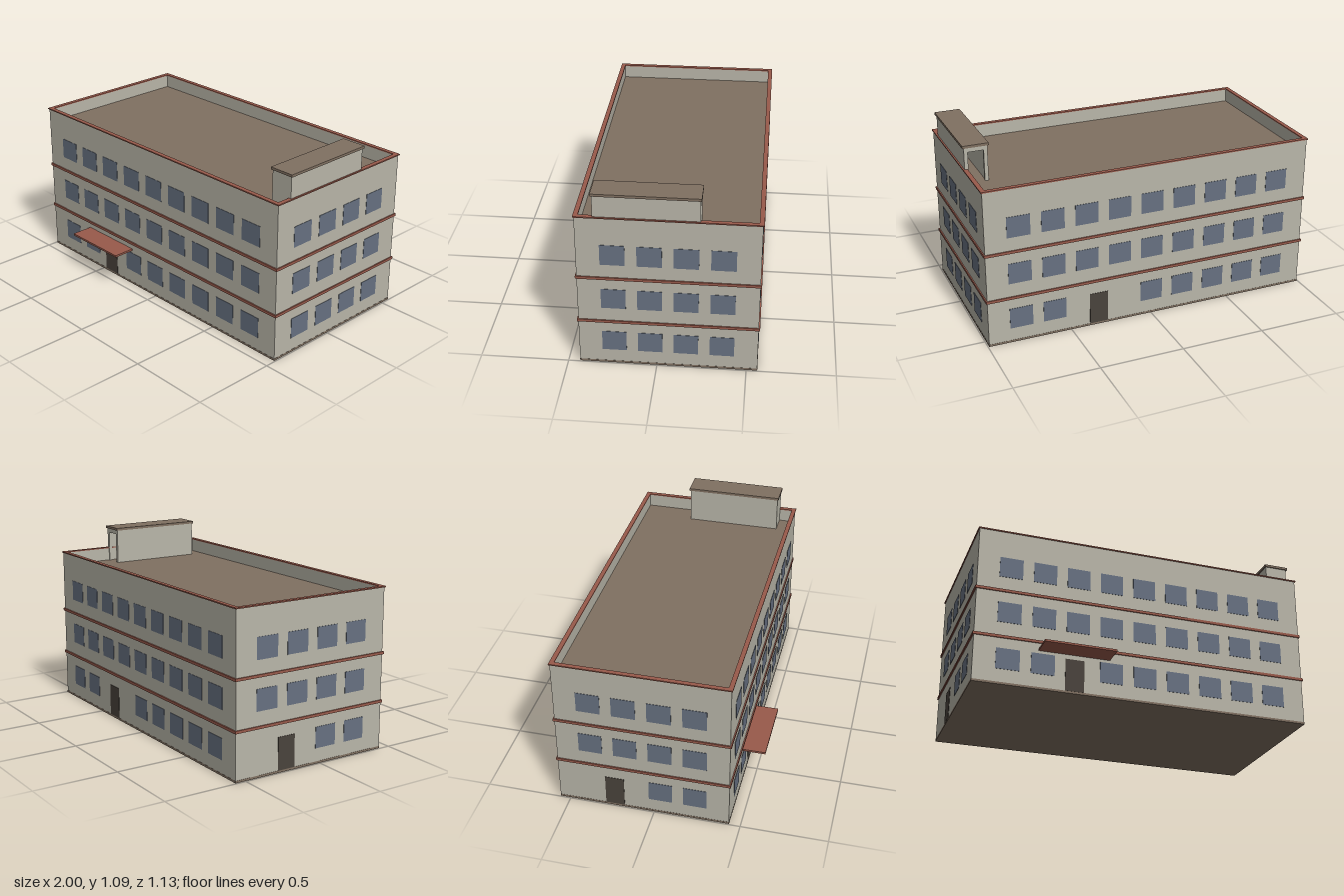
import * as THREE from 'three';

const paint = (name, color) => {
  const m = new THREE.MeshStandardMaterial({ color });
  m.name = name;
  return m;
};

export function createModel() {
  const wall = paint('wall plaster', 0xb9b6a9);
  const trim = paint('red trim', 0x985a4b);
  const brown = paint('roof brown', 0x807061);
  const glass = paint('window glass', 0x677181);
  const dark = paint('door', 0x4a433c);

  const model = new THREE.Group();
  model.name = 'building';

  // Box given by its min and max corners
  const box = (name, mat, x0, x1, y0, y1, z0, z1, parent = model) => {
    const mesh = new THREE.Mesh(new THREE.BoxGeometry(x1 - x0, y1 - y0, z1 - z0), mat);
    mesh.position.set((x0 + x1) / 2, (y0 + y1) / 2, (z0 + z1) / 2);
    mesh.name = name;
    parent.add(mesh);
  };

  // Rectangular ring of a given thickness, standing between two heights
  const X = 0.993, ZF = 0.434, ZB = -0.561;
  const rect = (T, x, zb, zf) => {
    const s = new T();
    s.moveTo(-x, -zf).lineTo(x, -zf).lineTo(x, -zb).lineTo(-x, -zb).closePath();
    return s;
  };
  const ring = (name, mat, out, thick, y0, y1) => {
    const shape = rect(THREE.Shape, X + out, ZB - out, ZF + out);
    const inn = out - thick;
    shape.holes.push(rect(THREE.Path, X + inn, ZB - inn, ZF + inn));
    const geo = new THREE.ExtrudeGeometry(shape, { depth: y1 - y0, bevelEnabled: false });
    geo.rotateX(-Math.PI / 2);
    const mesh = new THREE.Mesh(geo, mat);
    mesh.position.y = y0;
    mesh.name = name;
    model.add(mesh);
  };

  // Shell, base, flat roof and trim
  box('baseSlab', brown, -X - 0.001, X + 0.001, 0, 0.013, ZB - 0.001, ZF + 0.001);
  ring('walls', wall, 0, 0.018, 0.013, 0.944);
  box('roofDeck', brown, -X + 0.01, X - 0.01, 0.84, 0.865, ZB + 0.01, ZF - 0.01);
  ring('lowerBand', trim, 0.007, 0.02, 0.275, 0.291);
  ring('upperBand', trim, 0.007, 0.02, 0.559, 0.575);
  ring('parapetCap', trim, 0.006, 0.026, 0.943, 0.95);
  box('entranceCanopy', trim, -0.625, -0.21, 0.231, 0.243, ZF - 0.01, 0.566);

  // Thin plates on a facade; u runs along the wall
  const T = 0.002;
  const plate = (name, mat, side, u, w, y0, y1) => {
    const a = u - w / 2, b = u + w / 2;
    if (side === 'front') box(name, mat, a, b, y0, y1, ZF - T, ZF + T);
    if (side === 'back') box(name, mat, a, b, y0, y1, ZB - T, ZB + T);
    if (side === 'left') box(name, mat, X - T, X + T, y0, y1, a, b);
    if (side === 'right') box(name, mat, -X - T, -X + T, y0, y1, a, b);
  };

  // Window rows; "skip" lists ground floor places left free for a door
  const facades = [
    { side: 'front', start: -0.798, count: 9, skip: [2], door: -0.415 },
    { side: 'back', start: -0.798, count: 9, skip: [5, 6], door: 0.33 },
    { side: 'left', start: -0.362, count: 4, skip: [] },
    { side: 'right', start: -0.362, count: 4, skip: [0, 1], door: -0.23 },
  ];
  for (const f of facades) {
    [0.09, 0.372, 0.654].forEach((y, floor) => {
      for (let i = 0; i < f.count; i++) {
        if (floor === 0 && f.skip.includes(i)) continue;
        plate(f.side + 'Window', glass, f.side, f.start + i * 0.1995, 0.136, y, y + 0.124);
      }
    });
    if (f.door !== undefined) plate(f.side + 'Door', dark, f.side, f.door, 0.11, 0.013, 0.204);
  }

  // Hollow stair house on the roof, with a doorway in its back end
  const hut = new THREE.Group();
  hut.name = 'stairHouse';
  model.add(hut);
  const hx0 = 0.855, hx1 = 0.99, hz0 = -0.235, hz1 = 0.336, y0 = 0.865, y1 = 1.076, t = 0.016;
  box('innerWall', wall, hx0, hx0 + t, y0, y1, hz0 + t, hz1 - t, hut);
  box('outerWall', wall, hx1 - t, hx1, y0, y1, hz0 + t, hz1 - t, hut);
  box('frontWall', wall, hx0, hx1, y0, y1, hz1 - t, hz1, hut);
  box('doorJamb', wall, hx0, hx0 + 0.022, y0, y1, hz0, hz0 + t, hut);
  box('doorJamb', wall, hx1 - 0.022, hx1, y0, y1, hz0, hz0 + t, hut);
  box('doorLintel', wall, hx0 + 0.022, hx1 - 0.022, 1.05, y1, hz0, hz0 + t, hut);
  box('stairHouseRoof', brown, 0.848, 0.999, y1, 1.091, -0.241, 0.343, hut);

  return model;
}
